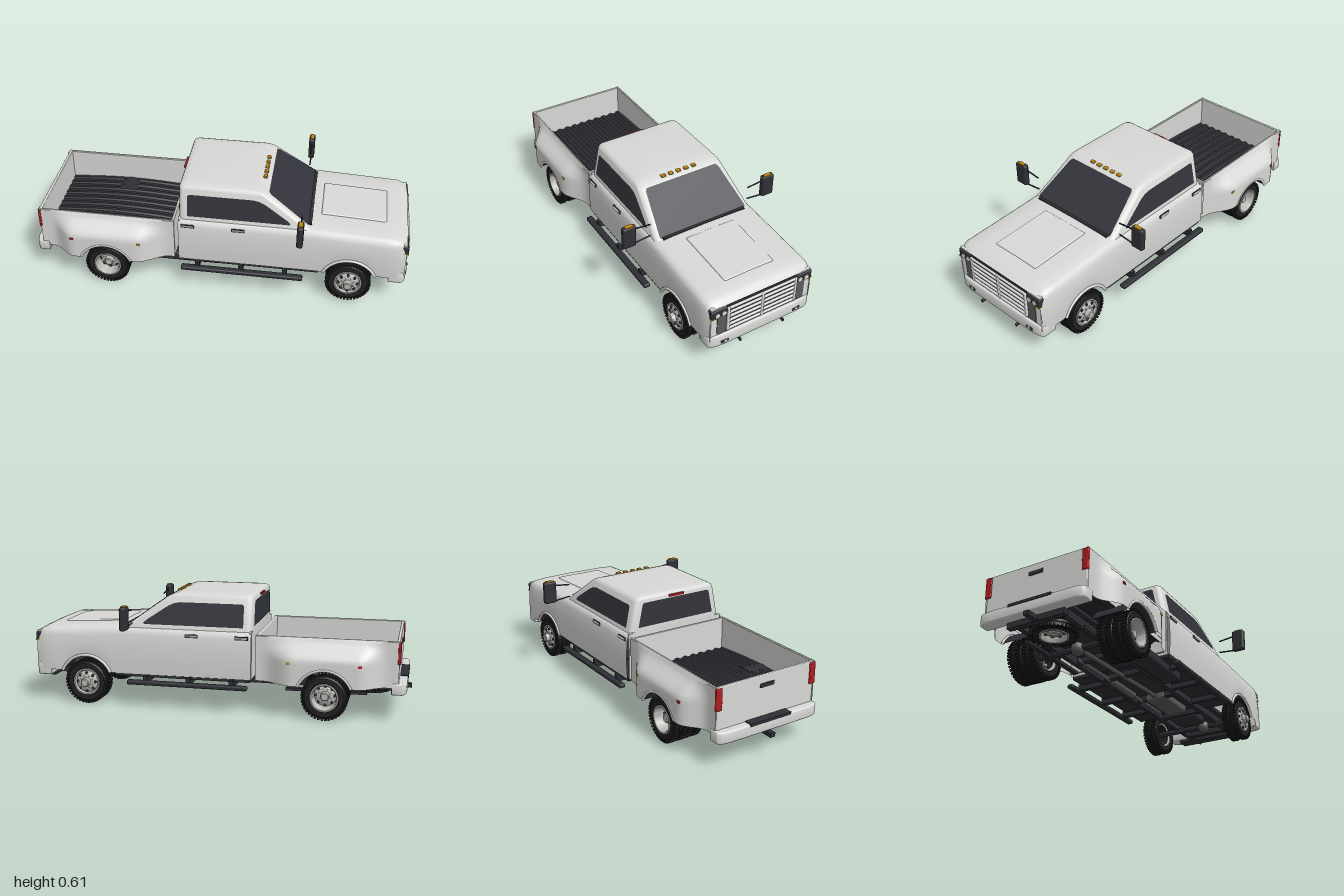
import * as THREE from 'three';
import { toCreasedNormals, mergeGeometries } from 'three/addons/utils/BufferGeometryUtils.js';
import { RoundedBoxGeometry } from 'three/addons/geometries/RoundedBoxGeometry.js';

const mat = (name, color, side = THREE.FrontSide) => Object.assign(new THREE.MeshStandardMaterial({ color, side }), { name });
const paint = mat('paint', 0xd8d8d6, THREE.DoubleSide);
const glass = mat('glass', 0x33343b, THREE.DoubleSide);
const trim = mat('dark trim', 0x2f3036, THREE.DoubleSide);
const rubber = mat('rubber', 0x212123);
const metal = mat('rim metal', 0xb9b9b5);
const grey = mat('grey panel', 0x5a5b5c);
const amber = mat('amber', 0xc48c12);
const red = mat('red', 0xb01c20);
const lampWhite = mat('lamp', 0xf0f0ee);

const { smoothstep, lerp } = THREE.MathUtils;
const WHEEL_Y = 0.118, FRONT_X = 0.69, REAR_X = -0.58, ARCH = 0.145, SILL = 0.175;

function add(parent, name, geometry, material, x = 0, y = 0, z = 0) {
  const m = new THREE.Mesh(geometry, material);
  m.name = name;
  m.position.set(x, y, z);
  parent.add(m);
  return m;
}
// box given by its low and high corners, optionally rounded
function box(parent, name, material, [x0, x1], [y0, y1], [z0, z1], r = 0) {
  const s = [x1 - x0, y1 - y0, z1 - z0];
  const g = r ? new RoundedBoxGeometry(...s, 3, r) : new THREE.BoxGeometry(...s);
  return add(parent, name, g, material, (x0 + x1) / 2, (y0 + y1) / 2, (z0 + z1) / 2);
}
// surface through a list of equal-length point rows
function loft(rows, closed = false, crease = 0.6) {
  const n = rows[0].length, index = [];
  for (let i = 0; i < rows.length - 1; i++)
    for (let j = 0; j < (closed ? n : n - 1); j++) {
      const a = i * n + j, b = i * n + (j + 1) % n, c = a + n, d = b + n;
      index.push(a, c, b, b, c, d);
    }
  const g = new THREE.BufferGeometry();
  g.setAttribute('position', new THREE.Float32BufferAttribute(rows.flat(2), 3));
  g.setIndex(index);
  g.computeVertexNormals();
  return toCreasedNormals(g, crease);
}
// flat outline (u, v) laid on a surface by a mapping rule
function plate(points, map) {
  const g = new THREE.ShapeGeometry(new THREE.Shape(points.map(p => new THREE.Vector2(...p))));
  const p = g.attributes.position;
  for (let i = 0; i < p.count; i++) p.setXYZ(i, ...map(p.getX(i), p.getY(i)));
  g.computeVertexNormals();
  return g;
}
function rod(parent, name, material, a, b, r) {
  const curve = new THREE.LineCurve3(new THREE.Vector3(...a), new THREE.Vector3(...b));
  return add(parent, name, new THREE.TubeGeometry(curve, 1, r, 12), material);
}
const lathe = (pts, seg = 40) =>
  toCreasedNormals(new THREE.LatheGeometry(pts.map(p => new THREE.Vector2(...p)), seg).rotateX(Math.PI / 2), 0.6);
const sill = (x, cx) => Math.abs(x - cx) < ARCH ? Math.max(SILL, WHEEL_Y + Math.sqrt(ARCH ** 2 - (x - cx) ** 2)) : SILL;
const archXs = cx => Array.from({ length: 17 }, (_, i) => cx - 0.1333 * Math.cos(i * Math.PI / 16));

// tyre with shoulder lugs, axle along z, outer face toward +z
function tyre(parent, w) {
  const h = w / 2;
  add(parent, 'tyre', lathe([[0.068, -h + 0.01], [0.075, -h], [0.1, -h], [0.111, -h + 0.008], [0.111, -0.012],
    [0.107, -0.011], [0.107, -0.005], [0.111, -0.004], [0.111, 0.004], [0.107, 0.005], [0.107, 0.011],
    [0.111, 0.012], [0.111, h - 0.008], [0.1, h], [0.075, h], [0.068, h - 0.01], [0.068, -h + 0.01]]), rubber);
  const lugs = [];
  for (let i = 0; i < 40; i++) for (const s of [-1, 1]) {
    const g = new THREE.BoxGeometry(0.012, 0.011, w * 0.3);
    g.translate(0, 0.1125, s * (w * 0.34)).rotateZ((i + (s > 0 ? 0.5 : 0)) * Math.PI / 20);
    lugs.push(g);
  }
  add(parent, 'treadLugs', mergeGeometries(lugs), rubber);
}
// rim whose face sits at depth f and hub end at depth e
function rim(parent, w, f, e) {
  const h = w / 2;
  add(parent, 'rim', lathe([[0.06, -h + 0.01], [0.069, -h + 0.005], [0.072, h + 0.002], [0.065, h + 0.003],
    [0.059, h - 0.008], [0.056, f - 0.008], [0.045, f], [0.03, f + 0.003], [0.024, f + 0.004], [0.022, e - 0.004],
    [0.018, e], [0, e]]), metal);
  for (let i = 0; i < 8; i++) {
    const a = i * Math.PI / 4;
    const hole = add(parent, 'rimHole', new THREE.CylinderGeometry(0.0075, 0.0075, 0.008, 12).rotateX(Math.PI / 2), trim,
      0.048 * Math.cos(a), 0.048 * Math.sin(a), f - 0.003);
    hole.scale.y = 1.1;
    add(parent, 'wheelNut', new THREE.CylinderGeometry(0.003, 0.003, 0.008, 6).rotateX(Math.PI / 2), metal,
      0.033 * Math.cos(a + 0.39), 0.033 * Math.sin(a + 0.39), f + 0.004);
  }
}
function wheel(parent, name, x, y, z, w, f, e) {
  const g = new THREE.Group();
  g.name = name;
  g.position.set(x, y, z);
  tyre(g, w);
  rim(g, w, f, e);
  parent.add(g);
  return g;
}

const fenderZ = (x, y) => 0.29 + 0.075 * smoothstep(x, -0.88, -0.75) * (1 - smoothstep(x, -0.42, -0.25)) * (1 - smoothstep(y, 0.3, 0.41));
const cabZ = y => 0.275 - 0.2 * (y - 0.43);
const screenX = y => 0.47 - 1.4 * (y - 0.43);

// everything that repeats on the left and right
function buildSide() {
  const g = new THREE.Group();
  // bed side with flared fender, rail and inner wall
  const xs = [...archXs(REAR_X), -0.94, -0.91, -0.88, -0.86, -0.84, -0.82, -0.8, -0.78, -0.76, -0.74,
    -0.42, -0.4, -0.38, -0.36, -0.34, -0.32, -0.3, -0.28, -0.25, -0.222].sort((a, b) => a - b);
  add(g, 'bedSide', loft(xs.map(x => {
    const b = sill(x, REAR_X), row = [];
    for (let i = 0; i <= 14; i++) { const y = lerp(b, 0.407, i / 14); row.push([x, y, fenderZ(x, y)]); }
    return [...row, [x, 0.411, 0.287], [x, 0.411, 0.28], [x, 0.407, 0.277], [x, 0.22, 0.277]];
  })), paint);
  // wheel arches
  for (const [cx, z, d] of [[FRONT_X, 0.299, 0.13], [REAR_X, 0.36, 0.19]]) {
    add(g, 'archLip', new THREE.TorusGeometry(ARCH, 0.008, 8, 32, Math.PI - 0.8).rotateZ(0.4), paint, cx, WHEEL_Y, z);
    add(g, 'wheelWell', new THREE.CylinderGeometry(ARCH, ARCH, d, 24, 1, true, Math.PI / 2 + 0.4, Math.PI - 0.8).rotateX(Math.PI / 2),
      trim, cx, WHEEL_Y, z - d / 2 - 0.006);
  }
  // wheels, double at the rear
  wheel(g, 'frontWheel', FRONT_X, WHEEL_Y, 0.26, 0.08, 0.042, 0.072);
  wheel(g, 'rearOuterWheel', REAR_X, WHEEL_Y, 0.302, 0.074, -0.012, 0.018);
  wheel(g, 'rearInnerWheel', REAR_X, WHEEL_Y, 0.217, 0.074, 0.01, 0.03);
  // side window, handles, running board
  add(g, 'sideWindow', plate([[-0.155, 0.44], [0.372, 0.44], [0.376, 0.446], [0.36, 0.462], [0.245, 0.538], [0.215, 0.552],
    [0.18, 0.558], [-0.145, 0.558], [-0.155, 0.55]], (x, y) => [x, y, cabZ(y) + 0.003]), glass);
  for (const x of [-0.15, 0.112]) {
    box(g, 'handleRecess', trim, [x - 0.034, x + 0.034], [0.382, 0.4], [0.296, 0.3005]);
    box(g, 'doorHandle', paint, [x - 0.031, x + 0.031], [0.386, 0.396], [0.296, 0.307], 0.004);
  }
  box(g, 'runningBoard', trim, [-0.185, 0.455], [0.125, 0.148], [0.3, 0.335], 0.008);
  for (const x of [-0.1, 0.13, 0.36]) box(g, 'boardBracket', trim, [x - 0.012, x + 0.012], [0.132, 0.17], [0.13, 0.31]);
  // tow mirror
  box(g, 'mirror', trim, [0.418, 0.45], [0.428, 0.55], [0.372, 0.443], 0.01);
  box(g, 'mirrorMarker', amber, [0.424, 0.446], [0.545, 0.554], [0.385, 0.428], 0.003);
  rod(g, 'mirrorArm', trim, [0.434, 0.523, 0.375], [0.434, 0.513, 0.287], 0.004);
  rod(g, 'mirrorArm', trim, [0.434, 0.435, 0.375], [0.434, 0.444, 0.287], 0.004);
  // headlamp cluster and panel beside the grille
  box(g, 'grillePanel', grey, [0.96, 0.972], [0.215, 0.335], [0.195, 0.25]);
  box(g, 'headlampHousing', trim, [0.93, 0.976], [0.33, 0.375], [0.198, 0.287], 0.006);
  for (const z of [0.218, 0.254])
    add(g, 'headlamp', new THREE.CylinderGeometry(0.013, 0.013, 0.008, 20).rotateZ(-Math.PI / 2), lampWhite, 0.976, 0.346, z);
  box(g, 'turnSignal', amber, [0.94, 0.978], [0.329, 0.335], [0.262, 0.288]);
  box(g, 'fogHousing', trim, [0.95, 0.985], [0.156, 0.179], [0.184, 0.231], 0.004);
  add(g, 'fogLamp', new THREE.CylinderGeometry(0.009, 0.009, 0.006, 16).rotateZ(-Math.PI / 2), lampWhite, 0.986, 0.1675, 0.207);
  box(g, 'towHook', trim, [0.93, 0.998], [0.13, 0.148], [0.12, 0.13], 0.004);
  // tail lamp and side markers
  box(g, 'tailLamp', red, [-0.947, -0.932], [0.295, 0.405], [0.258, 0.292], 0.004);
  for (const [x, m] of [[-0.755, red], [-0.4, amber]]) {
    const z = fenderZ(x, 0.29);
    box(g, 'sideMarker', m, [x - 0.009, x + 0.009], [0.284, 0.296], [z - 0.006, z + 0.003]);
  }
  // chassis rail and springs
  box(g, 'frameRail', trim, [-0.93, 0.92], [0.125, 0.17], [0.115, 0.14]);
  box(g, 'leafSpring', trim, [-0.78, -0.36], [0.1, 0.115], [0.145, 0.17]);
  return g;
}

export function createModel() {
  const truck = new THREE.Group();
  truck.name = 'pickupTruck';
  const left = buildSide(), right = left.clone();
  left.name = 'leftSide';
  right.name = 'rightSide';
  right.scale.z = -1;
  truck.add(left, right);

  // lower cab, front fenders and hood, swept along x
  const stations = [-0.2, 0, 0.2, 0.4, 0.47, 0.52, ...archXs(FRONT_X), 0.86, 0.92, 0.945, 0.96, 0.97];
  add(truck, 'lowerBody', loft(stations.map(x => {
    const top = x < 0.47 ? 0.43 : lerp(0.43, 0.408, (x - 0.47) / 0.46) - 0.022 * smoothstep(x, 0.925, 0.972);
    const k = 1 - 0.045 * smoothstep(x, 0.92, 0.975), b = sill(x, FRONT_X), half = [];
    for (let i = 0; i <= 4; i++) half.push([0.297 + 0.005 * Math.sin(i * Math.PI / 4), lerp(b, top - 0.045, i / 4)]);
    half.push([0.291, top - 0.022], [0.28, top - 0.012], [0.262, top - 0.005], [0.2, top]);
    const row = half.map(([z, y]) => [x, y, z * k]);
    return [...row, [x, top + 0.003, 0], ...half.reverse().map(([z, y]) => [x, y, -z * k])];
  })), paint);
  box(truck, 'cabBackWall', paint, [-0.2, -0.19], [SILL, 0.42], [-0.285, 0.285]);
  box(truck, 'nosePanel', paint, [0.95, 0.969], [0.19, 0.383], [-0.283, 0.283]);
  box(truck, 'hoodBulge', paint, [0.525, 0.86], [0.409, 0.427], [-0.14, 0.14], 0.008).rotation.z = -0.048;
  box(truck, 'cowl', trim, [0.45, 0.482], [0.42, 0.435], [-0.24, 0.24]);

  // upper cab from rounded rings
  const ring = (y, x0, x1, w, r) => [[x1, w, 0], [x0, w, 1], [x0, -w, 2], [x1, -w, 3]].flatMap(([x, z, q]) =>
    Array.from({ length: 6 }, (_, i) => {
      const a = Math.PI / 2 * (q + i / 5), sx = x === x1 ? -1 : 1;
      return [x + sx * r + r * Math.sin(a + Math.PI / 2), y, z - Math.sign(z) * r + r * Math.sin(a)];
    }));
  // corner angles run from +x through +z, -x and -z
  add(truck, 'upperCab', loft([ring(0.4, -0.2, screenX(0.4), cabZ(0.4), 0.03), ring(0.585, -0.2, screenX(0.585), cabZ(0.585), 0.03),
    ring(0.595, -0.196, 0.232, 0.237, 0.03), ring(0.602, -0.186, 0.205, 0.222, 0.03), ring(0.605, -0.165, 0.16, 0.19, 0.03),
    ring(0.607, -0.02, 0.02, 0.02, 0.01), ring(0.607, 0, 0, 0, 0)], true), paint);
  add(truck, 'windshield', plate([[-0.25, 0.432], [0.25, 0.432], [0.252, 0.438], [0.215, 0.575], [0.205, 0.585], [-0.205, 0.585],
    [-0.215, 0.575], [-0.252, 0.438]], (z, y) => [screenX(y) + 0.004, y, z]), glass);
  add(truck, 'rearWindow', plate([[-0.23, 0.445], [0.23, 0.445], [0.205, 0.565], [0.195, 0.573], [-0.195, 0.573], [-0.205, 0.565]],
    (z, y) => [-0.203, y, z]), glass);
  box(truck, 'highBrakeLamp', red, [-0.208, -0.195], [0.579, 0.59], [-0.045, 0.045]);
  for (let i = -2; i <= 2; i++)
    box(truck, 'roofMarker', amber, [0.216, 0.236], [0.594, 0.606], [i * 0.045 - 0.013, i * 0.045 + 0.013], 0.004);

  // grille
  box(truck, 'grilleBack', trim, [0.96, 0.972], [0.215, 0.383], [-0.2, 0.2]);
  for (const y of [0.232, 0.257, 0.283, 0.309, 0.335, 0.362]) box(truck, 'grilleBar', paint, [0.965, 0.981], [y - 0.007, y + 0.007], [-0.195, 0.195], 0.005);
  for (const z of [-0.192, 0, 0.192]) box(truck, 'grillePost', paint, [0.965, 0.983], [0.224, 0.37], [z - 0.007, z + 0.007], 0.005);

  // bumpers: outline seen from above, extruded upward
  const bumper = (name, s, xBack, xFace, xEnd, y0, y1) => {
    const shape = new THREE.Shape();
    shape.moveTo(xBack, -0.286).lineTo(xEnd, -0.286).quadraticCurveTo(xFace, -0.28, xFace, -0.2);
    shape.lineTo(xFace, 0.2).quadraticCurveTo(xFace, 0.28, xEnd, 0.286).lineTo(xBack, 0.286);
    const g = new THREE.ExtrudeGeometry(shape, { depth: y1 - y0 - 0.016, bevelSize: 0.008, bevelThickness: 0.008, bevelSegments: 3, curveSegments: 8 });
    add(truck, name, toCreasedNormals(g.rotateX(-Math.PI / 2).translate(0, y0 + 0.008, 0), 0.6), paint);
  };
  bumper('frontBumper', 1, 0.9, 0.976, 0.955, 0.143, 0.212);
  bumper('rearBumper', -1, -0.915, -0.973, -0.955, 0.14, 0.2);
  box(truck, 'airDam', trim, [0.9, 0.965], [0.125, 0.15], [-0.22, 0.22]);
  box(truck, 'bumperStep', trim, [-0.984, -0.92], [0.19, 0.204], [-0.12, 0.12]);
  box(truck, 'hitchBar', trim, [-1, -0.86], [0.112, 0.134], [-0.014, 0.014]);
  box(truck, 'hitchCrossbar', trim, [-0.93, -0.9], [0.11, 0.14], [-0.16, 0.16]);

  // bed: tailgate, front wall and ribbed floor
  box(truck, 'tailgate', paint, [-0.941, -0.925], [0.18, 0.41], [-0.284, 0.284], 0.004);
  box(truck, 'tailgateHandle', trim, [-0.945, -0.935], [0.35, 0.37], [-0.04, 0.04]);
  box(truck, 'bedFrontWall', paint, [-0.236, -0.222], [SILL, 0.41], [-0.284, 0.284], 0.004);
  const floor = new THREE.PlaneGeometry(0.69, 0.556, 16, 66).rotateX(-Math.PI / 2), p = floor.attributes.position;
  for (let i = 0; i < p.count; i++) {
    const row = Math.floor(i / 17), hump = Math.cos(p.getX(i) / 0.345 * Math.PI / 2);
    p.setY(i, 0.235 + 0.018 * hump + (row % 6 < 3 ? 0.008 : 0));
  }
  floor.computeVertexNormals();
  add(truck, 'bedFloor', toCreasedNormals(floor, 0.5), trim, -0.58);

  // underbody
  box(truck, 'chassisFloor', trim, [-0.92, 0.94], [0.165, 0.185], [-0.165, 0.165]);
  box(truck, 'cabFloor', trim, [-0.195, 0.53], [0.16, 0.18], [-0.29, 0.29]);
  for (const x of [-0.88, -0.4, -0.15, 0.2, 0.5, 0.85]) box(truck, 'crossMember', trim, [x - 0.015, x + 0.015], [0.13, 0.16], [-0.12, 0.12]);
  for (const [x, dz] of [[FRONT_X, 0.05], [REAR_X, 0]]) {
    rod(truck, 'axle', trim, [x, WHEEL_Y, -0.25], [x, WHEEL_Y, 0.25], 0.016);
    add(truck, 'differential', new THREE.SphereGeometry(0.036, 20, 14), grey, x, 0.115, dz);
  }
  rod(truck, 'driveShaft', grey, [REAR_X, 0.12, 0], [0.2, 0.145, 0], 0.012);
  box(truck, 'gearbox', grey, [0.18, 0.45], [0.12, 0.17], [-0.06, 0.06], 0.015);
  box(truck, 'oilPan', trim, [0.5, 0.64], [0.115, 0.17], [-0.08, 0.08], 0.015);
  box(truck, 'fuelTank', trim, [-0.38, 0.02], [0.118, 0.17], [0.145, 0.25], 0.012);
  rod(truck, 'exhaustPipe', grey, [0.4, 0.135, -0.09], [-0.46, 0.135, -0.09], 0.011);
  rod(truck, 'muffler', grey, [0.1, 0.135, -0.09], [-0.15, 0.135, -0.09], 0.02);
  wheel(truck, 'spareWheel', -0.78, 0.128, 0, 0.062, 0.01, 0.02).rotation.x = Math.PI / 2;
  return truck;
}
